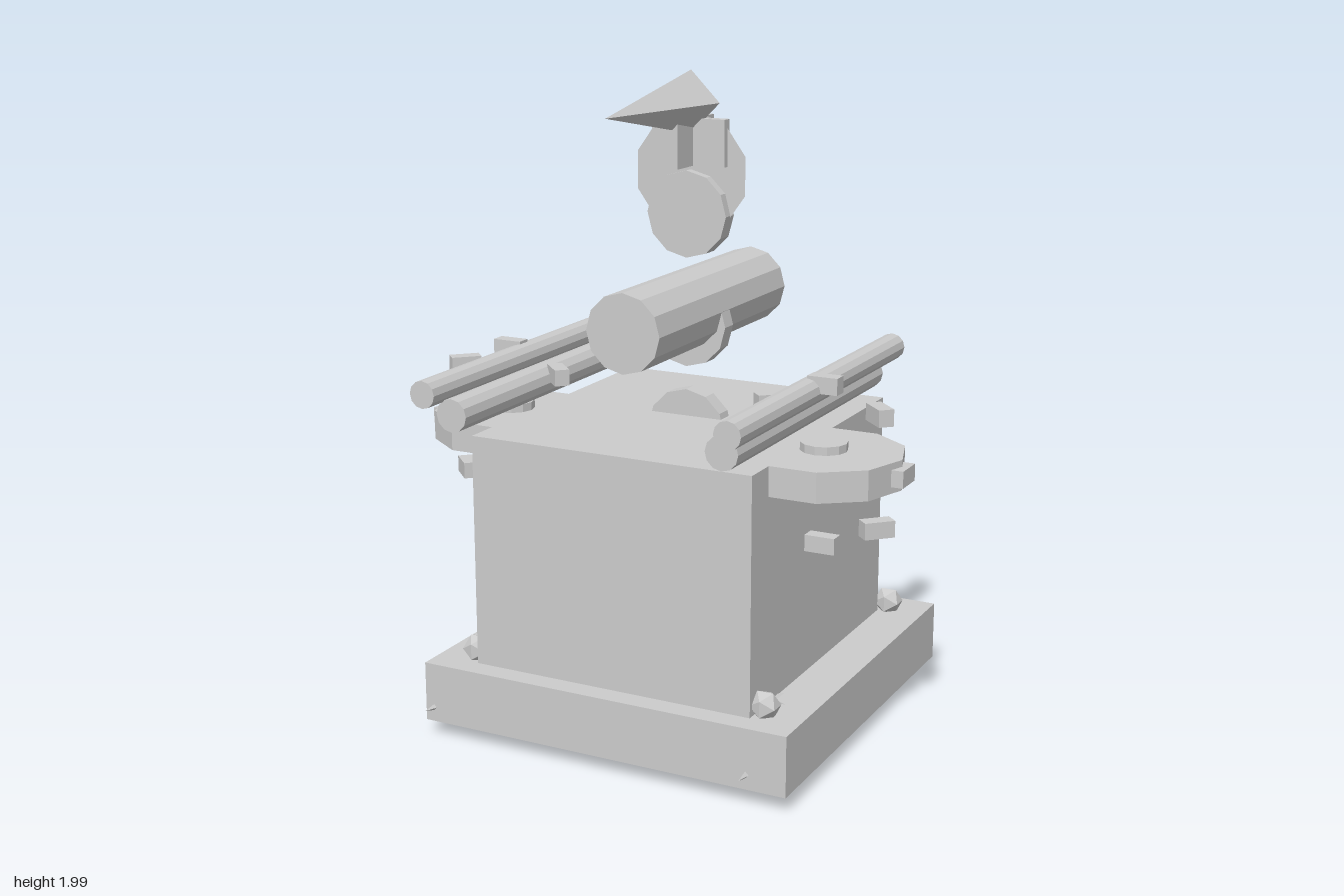
import * as THREE from 'three';

export function createModel() {
  const model = new THREE.Group();
  const material = new THREE.MeshStandardMaterial({ color: 0xcccccc, flatShading: true });

  const add = (name, geometry, x, y, z) => {
    const mesh = new THREE.Mesh(geometry, material);
    mesh.name = name;
    mesh.position.set(x, y, z);
    model.add(mesh);
    return mesh;
  };
  const box = (w, h, d) => new THREE.BoxGeometry(w, h, d);
  // Cylinder and cone lying along z; the cone tip points to +z
  const rod = (r, length, sides = 12) => new THREE.CylinderGeometry(r, r, length, sides).rotateX(Math.PI / 2);
  const spike = (r, length, sides = 4) => new THREE.ConeGeometry(r, length, sides).rotateX(Math.PI / 2);

  // Plinth and main block
  add('plinth', box(1.2, 0.185, 1.19), 0, 0.1475, -0.07);
  add('body', box(0.91, 0.715, 0.98), 0, 0.5975, -0.035);

  // Large barrel with the row of neck discs
  add('barrel', rod(0.119, 0.86), 0, 1.288, -0.072);
  for (let i = 0; i < 3; i++) add('neckDisc', rod(0.131, 0.055), 0, 0.907 + i * 0.334, -0.07);

  // Head: rear cone, crossed plates and a long beak
  add('headCone', spike(0.188, 0.14, 10).rotateY(Math.PI), 0, 1.695, -0.143);
  add('headPlateWide', box(0.24, 0.14, 0.035), 0, 1.79, -0.07);
  add('headPlateDeep', box(0.035, 0.14, 0.24), 0, 1.79, -0.07);
  add('beak', spike(0.094, 0.52), 0, 1.906, 0.187);

  for (const side of [-1, 1]) {
    // Paired rails
    add('upperRail', rod(0.041, 1.195), side * 0.48, 1.124, 0.07);
    add('lowerRail', rod(0.05, 1.05), side * 0.43, 1.052, 0.072);

    // Side wheel with hub
    const wx = side * 0.525, wy = 0.91, wz = 0.117;
    const wheel = add('sideWheel', new THREE.CylinderGeometry(0.24, 0.24, 0.09, 10), wx, wy, wz);
    wheel.rotation.y = Math.PI / 2;
    add('wheelHub', new THREE.CylinderGeometry(0.07, 0.07, 0.14, 12), wx, wy, wz);

    // Ring of small blocks standing around the wheel
    for (let i = 0; i < 8; i++) {
      const a = (i * Math.PI) / 4;
      const block = add('wheelBlock', box(0.046, 0.05, 0.093),
        wx + 0.238 * Math.cos(a), wy + 0.238 * Math.sin(a), wz);
      block.rotation.y = a;
    }

    // Corner studs on the plinth
    for (const z of [0.41, -0.552]) {
      add('cornerStud', new THREE.IcosahedronGeometry(0.047, 0), side * 0.482, 0.268, z);
    }
  }

  // Feet: a disc set in the plinth and a claw reaching forward
  const feet = [
    { x: -0.533, z: 0.29, claw: 0.18, turn: -0.17 },
    { x: 0.475, z: 0.29, claw: 0.18, turn: 0 },
    { x: -0.43, z: -0.5, claw: -0.585, turn: 0 },
    { x: 0.36, z: -0.56, claw: -0.585, turn: 0 },
  ];
  for (const f of feet) {
    add('footDisc', rod(0.111, 0.06), f.x, 0.137, f.z);
    const claw = add('claw', spike(0.092, 0.39).translate(0, 0, 0.195), f.x + (f.turn ? 0.02 : 0), 0.1, f.claw);
    claw.rotation.y = f.turn;
  }
  return model;
}
